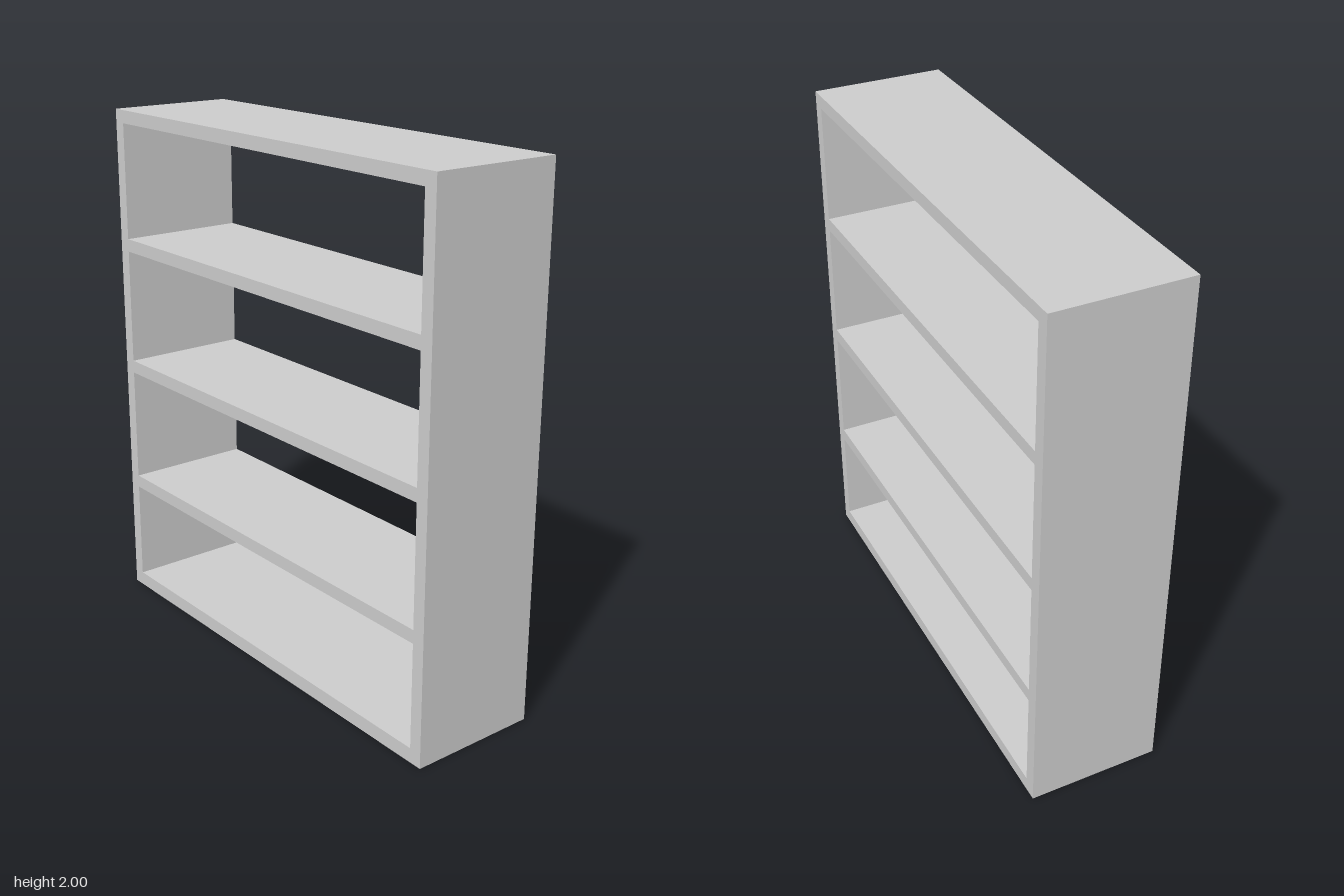
import * as THREE from 'three';

const WIDTH = 1.8, HEIGHT = 2, DEPTH = 0.5, BOARD = 0.05;

export function createModel() {
  const group = new THREE.Group();
  group.name = 'openShelfUnit';
  const material = new THREE.MeshStandardMaterial({ color: 0xcccccc, flatShading: true });

  const addBoard = (name, w, h, x, bottom) => {
    const mesh = new THREE.Mesh(new THREE.BoxGeometry(w, h, DEPTH), material);
    mesh.name = name;
    mesh.position.set(x, bottom + h / 2, 0);
    group.add(mesh);
  };

  // Full-height side panels
  for (const side of [-1, 1]) {
    addBoard(side > 0 ? 'leftPanel' : 'rightPanel', BOARD, HEIGHT, side * (WIDTH - BOARD) / 2, 0);
  }

  // Slightly thicker bottom board, then shelves and top at even spacing
  const inner = WIDTH - 2 * BOARD;
  addBoard('bottomBoard', inner, 0.055, 0, 0);
  for (let i = 1; i <= 4; i++) {
    addBoard(i === 4 ? 'topBoard' : `shelf${i}`, inner, BOARD, 0, i * 0.5 - BOARD);
  }
  return group;
}
